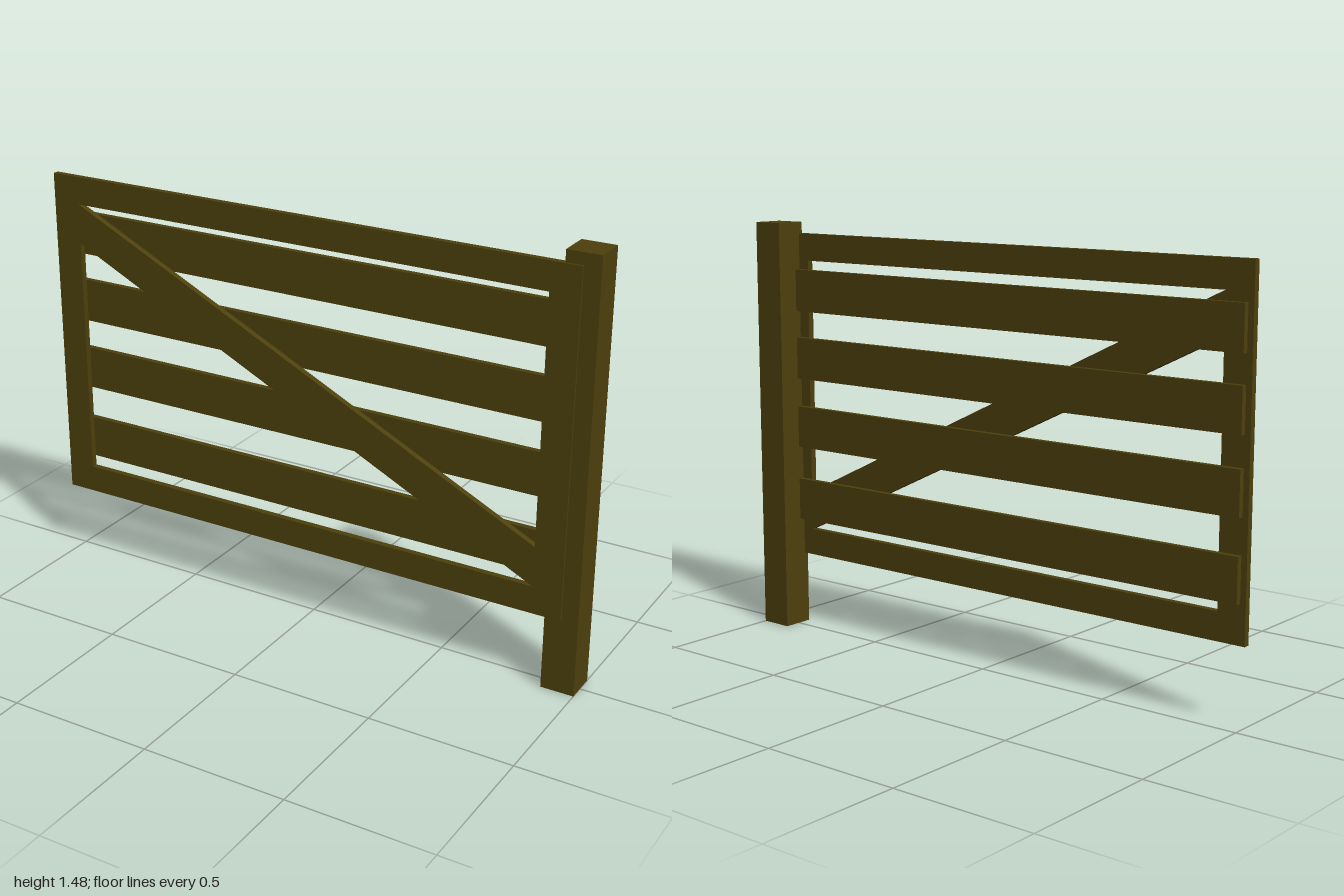
import * as THREE from 'three';

const wood = new THREE.MeshStandardMaterial({ color: 0x4d400d });

function board(name, [x0, x1], [y0, y1], [z0, z1]) {
  const mesh = new THREE.Mesh(new THREE.BoxGeometry(x1 - x0, y1 - y0, z1 - z0), wood);
  mesh.position.set((x0 + x1) / 2, (y0 + y1) / 2, (z0 + z1) / 2);
  mesh.name = name;
  return mesh;
}

const points = (list) => list.map(([x, y]) => new THREE.Vector2(x, y));

export function createModel() {
  const gate = new THREE.Group();
  gate.name = 'gate';

  // Square hinge post
  gate.add(board('post', [0.885, 1], [0, 1.478], [-0.06, 0.053]));

  // Front frame: the two triangular openings leave the diagonal brace
  const frame = new THREE.Shape(points([[-1, 0.262], [0.943, 0.262], [0.943, 1.438], [-1, 1.438]]));
  frame.holes.push(
    new THREE.Path(points([[-0.9, 1.342], [0.842, 1.342], [0.842, 0.498]])),
    new THREE.Path(points([[-0.9, 0.358], [-0.9, 1.203], [0.842, 0.358]]))
  );
  const frameMesh = new THREE.Mesh(
    new THREE.ExtrudeGeometry(frame, { depth: 0.022, bevelEnabled: false }), wood);
  frameMesh.position.z = 0.038;
  frameMesh.name = 'frameWithBrace';
  gate.add(frameMesh);

  // Horizontal slats behind the frame, let into the post
  const slats = new THREE.Group();
  slats.name = 'slats';
  [0.395, 0.663, 0.915, 1.16].forEach((y, i) => {
    slats.add(board(`slat${i + 1}`, [-0.98, 0.93], [y, y + 0.15], [0.018, 0.038]));
  });
  gate.add(slats);

  return gate;
}
